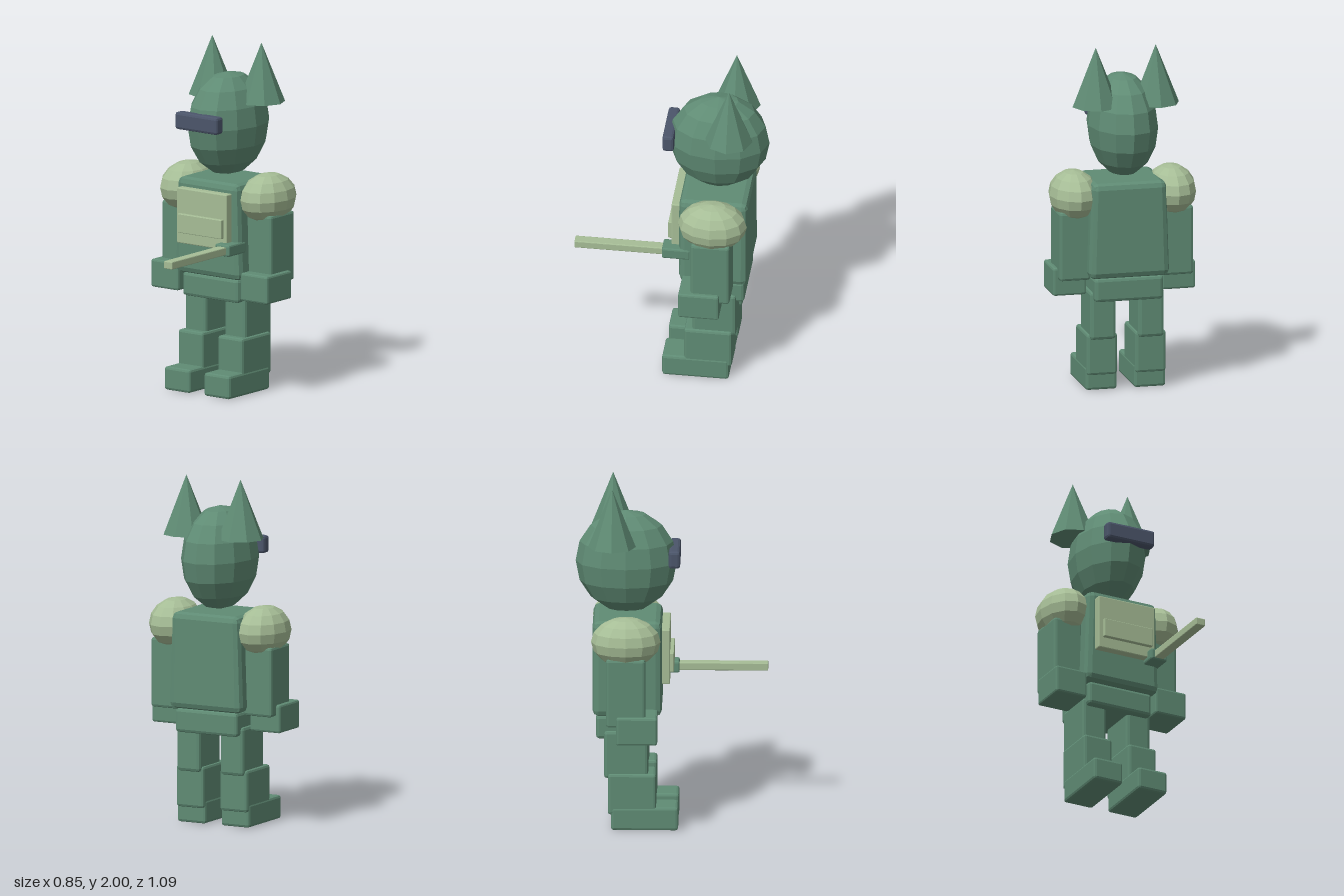
import * as THREE from 'three';
import { RoundedBoxGeometry } from 'three/addons/geometries/RoundedBoxGeometry.js';

export function createModel() {
  const model = new THREE.Group();
  model.name = 'armoredFigure';

  const material = (name, color) => {
    const m = new THREE.MeshStandardMaterial({ color, flatShading: true });
    m.name = name;
    return m;
  };
  const green = material('armor green', 0x5f8b74);
  const pale = material('pale green', 0xa6bd96);
  const slate = material('slate visor', 0x4b556a);

  const add = (name, geometry, mat, x = 0, y = 0, z = 0) => {
    const mesh = new THREE.Mesh(geometry, mat);
    mesh.name = name;
    mesh.position.set(x, y, z);
    model.add(mesh);
    return mesh;
  };

  // Bevelled box given by its extents on each axis
  const block = (name, mat, [x0, x1], [y0, y1], [z0, z1], bevel = 0.015) =>
    add(name, new RoundedBoxGeometry(x1 - x0, y1 - y0, z1 - z0, 1, bevel), mat,
      (x0 + x1) / 2, (y0 + y1) / 2, (z0 + z1) / 2);

  // Faceted ellipsoid
  const ellipsoid = (name, mat, rx, ry, rz, x, y, z) =>
    add(name, new THREE.SphereGeometry(1, 12, 8).scale(rx, ry, rz), mat, x, y, z);

  // Head and visor
  ellipsoid('head', green, 0.2, 0.298, 0.287, 0, 1.527, -0.257);
  block('visor', slate, [-0.15, 0.15], [1.52, 1.62], [-0.015, 0.05]);

  // Torso, slightly narrower towards the top
  const torso = block('torso', green, [-0.235, 0.235], [0.667, 1.222], [-0.445, -0.053], 0.035);
  const p = torso.geometry.attributes.position;
  for (let i = 0; i < p.count; i++) {
    p.setX(i, p.getX(i) * (0.96 - 0.14 * p.getY(i)));
  }
  torso.geometry.computeVertexNormals();

  // Chest plates and waist
  block('chestPlate', pale, [-0.18, 0.178], [0.85, 1.17], [-0.062, -0.007], 0.006);
  block('chestPanel', pale, [-0.155, 0.155], [0.915, 1.025], [-0.03, 0.015], 0.004);
  block('waist', green, [-0.2, 0.2], [0.53, 0.667], [-0.425, -0.085], 0.018);

  // Paired parts
  for (const [side, s] of [['left', 1], ['right', -1]]) {
    const pair = (name, a, b, y, z, bevel) =>
      block(side + name, green, s > 0 ? [a, b] : [-b, -a], y, z, bevel);

    add(side + 'Ear', new THREE.ConeGeometry(0.135, 0.34, 8), green, s * 0.175, 1.828, -0.335);
    ellipsoid(side + 'Shoulder', pale, 0.14, 0.143, 0.197, s * 0.285, 1.13, -0.255);
    pair('Arm', 0.21, 0.39, [0.65, 1.05], [-0.365, -0.143], 0.015);
    pair('Hand', 0.22, 0.415, [0.553, 0.715], [-0.307, -0.075], 0.012);
    pair('Thigh', 0.065, 0.215, [0.3, 0.58], [-0.38, -0.13], 0.018);
    pair('Shin', 0.053, 0.23, [0.09, 0.33], [-0.358, -0.085], 0.015);
    pair('Foot', 0.05, 0.233, [0, 0.135], [-0.34, 0.04], 0.015);
  }

  // Weapon at the left of the waist
  block('weaponGrip', green, [0.13, 0.232], [0.825, 0.892], [-0.12, 0.042], 0.01);
  block('weaponBarrel', pale, [0.152, 0.21], [0.835, 0.88], [0, 0.543], 0.005);

  return model;
}
